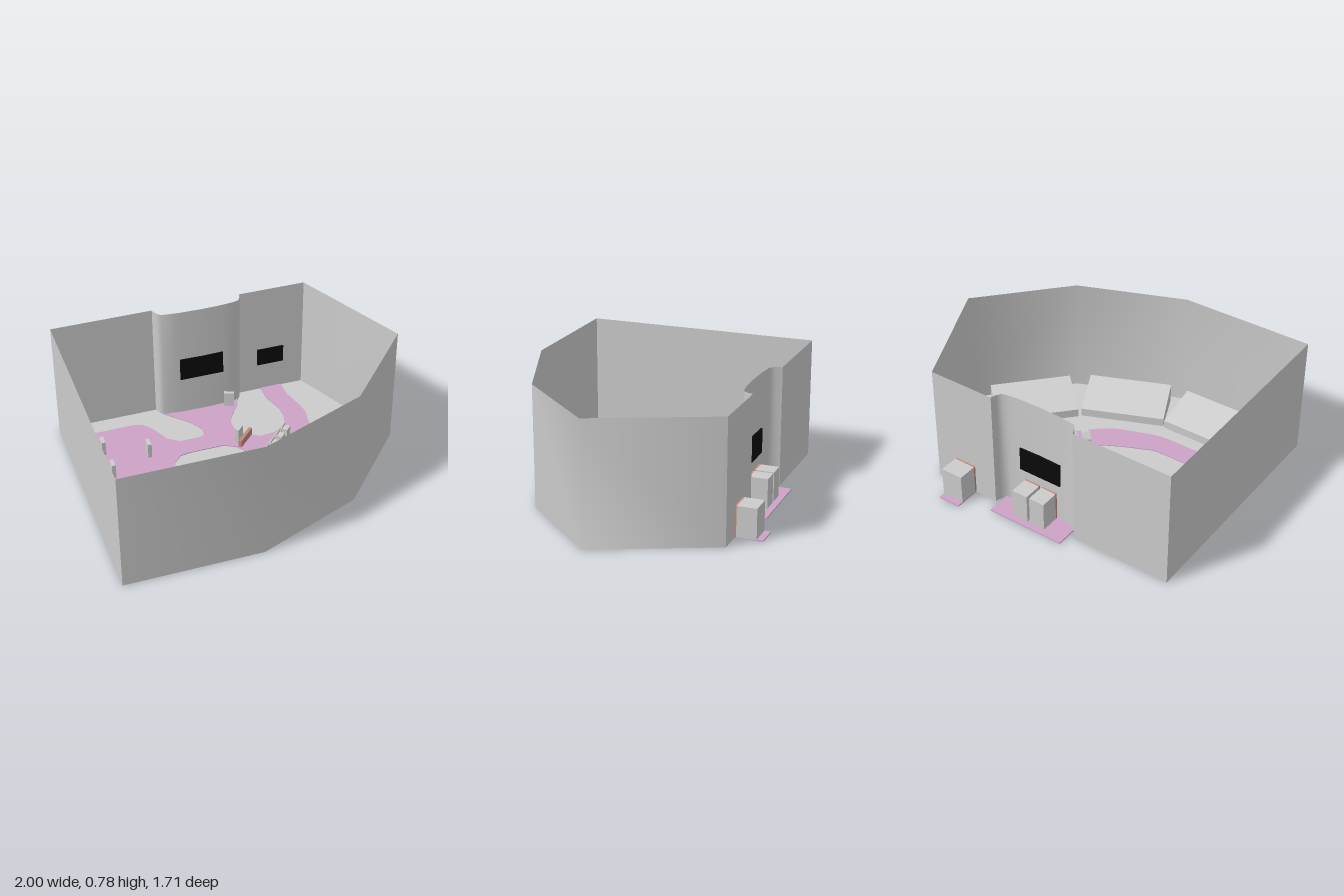
import * as THREE from 'three';

const mat = (color) => new THREE.MeshStandardMaterial({ color });
const grey = mat(0xcccccc);
const purple = mat(0xcca2c6);
const red = mat(0xc4877b);
const black = mat(0x0a0a0a);
const wallMat = new THREE.MeshStandardMaterial({ color: 0xcccccc, side: THREE.DoubleSide });

const WALL_H = 0.78;
const CARPET_TOP = 0.01;

// Plan outlines as [x, z]
const frontWall = [[-1, 0.85], [-0.14, 0.85], [0.53, 0.585], [1, 0.065], [0.67, -0.68]];
const rightBack = [[0.67, -0.68], [0.23, -0.68]];
const alcove = [[0.23, -0.68], [0.22, -0.645], [0.2, -0.615], [0.16, -0.605], [0.09, -0.598], [-0.05, -0.594],
  [-0.2, -0.598], [-0.31, -0.61], [-0.335, -0.64], [-0.35, -0.68]];
const leftBack = [[-0.35, -0.68], [-1, -0.68]];
const sideWall = [[-1, -0.68], [-1, 0.85]];

const carpetOuter = [[-0.97, -0.56], [-0.97, 0.21], [-0.94, 0.33], [-0.87, 0.39], [-0.77, 0.42], [-0.28, 0.42],
  [-0.2, 0.405], [0.02, 0.325], [0.12, 0.26], [0.48, -0.11], [0.55, -0.22], [0.57, -0.33], [0.565, -0.4],
  [0.525, -0.56], [0.525, -0.855], [0.38, -0.855], [0.38, -0.56], [0.42, -0.42], [0.42, -0.34], [0.4, -0.265],
  [0.35, -0.21], [0.28, -0.19], [0.2, -0.185], [0.12, -0.24], [0.07, -0.31], [0.07, -0.39], [0.1, -0.45],
  [0.17, -0.55], [0.2, -0.62], [0.2, -0.77], [-0.315, -0.77], [-0.315, -0.61], [-0.18, -0.47], [-0.13, -0.38],
  [-0.13, -0.32], [-0.17, -0.3], [-0.3, -0.3], [-0.37, -0.35], [-0.43, -0.48], [-0.48, -0.545], [-0.53, -0.56]];
const carpetIsland = [[-0.82, 0.1], [-0.53, 0.1], [-0.47, 0.07], [-0.43, 0.02], [-0.39, -0.11], [-0.34, -0.16],
  [-0.28, -0.17], [-0.05, -0.17], [0.02, -0.13], [0.06, -0.07], [0.07, 0], [0.05, 0.08], [0.01, 0.13],
  [-0.1, 0.19], [-0.27, 0.265], [-0.32, 0.275], [-0.77, 0.275], [-0.81, 0.26], [-0.82, 0.22]];

const toVectors = (pts) => pts.map(([x, z]) => new THREE.Vector2(x, -z));

// Flat slab from a plan outline
function slab(pts, y0, y1, holes = []) {
  const shape = new THREE.Shape(toVectors(pts));
  holes.forEach((h) => shape.holes.push(new THREE.Path(toVectors(h))));
  const geo = new THREE.ExtrudeGeometry(shape, { depth: y1 - y0, bevelEnabled: false });
  return geo.rotateX(-Math.PI / 2).translate(0, y0, 0);
}

// Thin upright wall along a plan path, smooth across its own bends
function wallStrip(path) {
  const pos = [], index = [];
  path.forEach(([x, z], i) => {
    pos.push(x, 0, z, x, WALL_H, z);
    if (i < path.length - 1) {
      const a = i * 2;
      index.push(a, a + 2, a + 1, a + 1, a + 2, a + 3);
    }
  });
  const geo = new THREE.BufferGeometry();
  geo.setAttribute('position', new THREE.Float32BufferAttribute(pos, 3));
  geo.setIndex(index);
  geo.computeVertexNormals();
  return geo;
}

// Box whose top slopes up toward local +z
function slopedBox(w, hBack, hFront, d) {
  const geo = new THREE.BoxGeometry(w, 1, d).translate(0, 0.5, 0).toNonIndexed();
  const p = geo.attributes.position;
  for (let i = 0; i < p.count; i++) {
    if (p.getY(i) > 0.5) p.setY(i, p.getZ(i) < 0 ? hBack : hFront);
  }
  geo.computeVertexNormals();
  return geo;
}

export function createModel() {
  const model = new THREE.Group();
  model.name = 'walledHall';

  const add = (name, geo, material, x = 0, y = 0, z = 0, turn = 0, parent = model) => {
    const mesh = new THREE.Mesh(geo, material);
    mesh.name = name;
    mesh.position.set(x, y, z);
    mesh.rotation.y = turn;
    parent.add(mesh);
    return mesh;
  };
  // Box standing on height y
  const box = (name, material, x, y, z, w, h, d, turn = 0, parent = model) =>
    add(name, new THREE.BoxGeometry(w, h, d).translate(0, h / 2, 0), material, x, y, z, turn, parent);

  // Walls and floor
  const walls = { frontWall, rightBack, alcove, leftBack, sideWall };
  for (const [name, path] of Object.entries(walls)) add(name, wallStrip(path), wallMat);
  const outline = Object.values(walls).flatMap((path) => path.slice(0, -1));
  add('floor', slab(outline, 0, 0.005), grey);
  add('carpet', slab(carpetOuter, 0.002, CARPET_TOP, [carpetIsland]), purple);

  // Lift cabins behind the back wall, each with a red door
  [[-0.118, -0.67, 0.105, 0.12], [0.005, -0.67, 0.105, 0.12], [0.4525, -0.753, 0.145, 0.124]].forEach(([x, z, w, d]) => {
    box('liftCabin', grey, x, 0.005, z, w, 0.195, d);
    box('liftDoor', red, x, 0.005, z + d / 2 + 0.005, w, 0.195, 0.012);
  });

  // Dark display panels
  box('alcoveDisplay', black, -0.055, 0.268, -0.6, 0.29, 0.157, 0.016);
  box('entranceDisplay', black, 0.445, 0.205, -0.674, 0.18, 0.12, 0.008);

  // Sloped seating stands along the front wall
  [[-0.48, 0.65, 0.54, 0.275, 0], [0.105, 0.545, 0.54, 0.28, 0.4], [0.595, 0.193, 0.53, 0.28, 0.82]]
    .forEach(([x, z, w, d, turn]) => add('seatingStand', slopedBox(w, 0.06, 0.135, d), grey, x, 0, z, turn));

  // Free-standing kiosks on the carpet
  [[-0.795, -0.35, 0], [-0.795, -0.108, 0], [-0.528, -0.235, 0], [0.06, -0.19, -0.8], [0.12, -0.568, 1.2]]
    .forEach(([x, z, turn]) => box('kiosk', grey, x, CARPET_TOP, z, 0.025, 0.1, 0.064, turn));

  // Red barrier across the passage
  box('barrier', red, 0.095, CARPET_TOP, -0.172, 0.155, 0.05, 0.022, Math.PI / 4);

  // Diagonal row of consoles with a low platform behind
  const row = new THREE.Group();
  row.name = 'consoleRow';
  row.position.set(0.227, CARPET_TOP, -0.025);
  row.rotation.y = Math.PI / 4;
  model.add(row);
  for (let i = -2; i <= 2; i++) {
    const x = i * 0.083;
    add('consoleDesk', slopedBox(0.056, 0.045, 0.085, 0.032), grey, x, 0, -0.016, 0, row);
    box('consoleCabinet', grey, x, 0, 0.018, 0.05, 0.07, 0.036, 0, row);
  }
  box('consolePlatform', grey, 0.005, 0, 0.06, 0.26, 0.012, 0.045, 0, row);

  return model;
}
